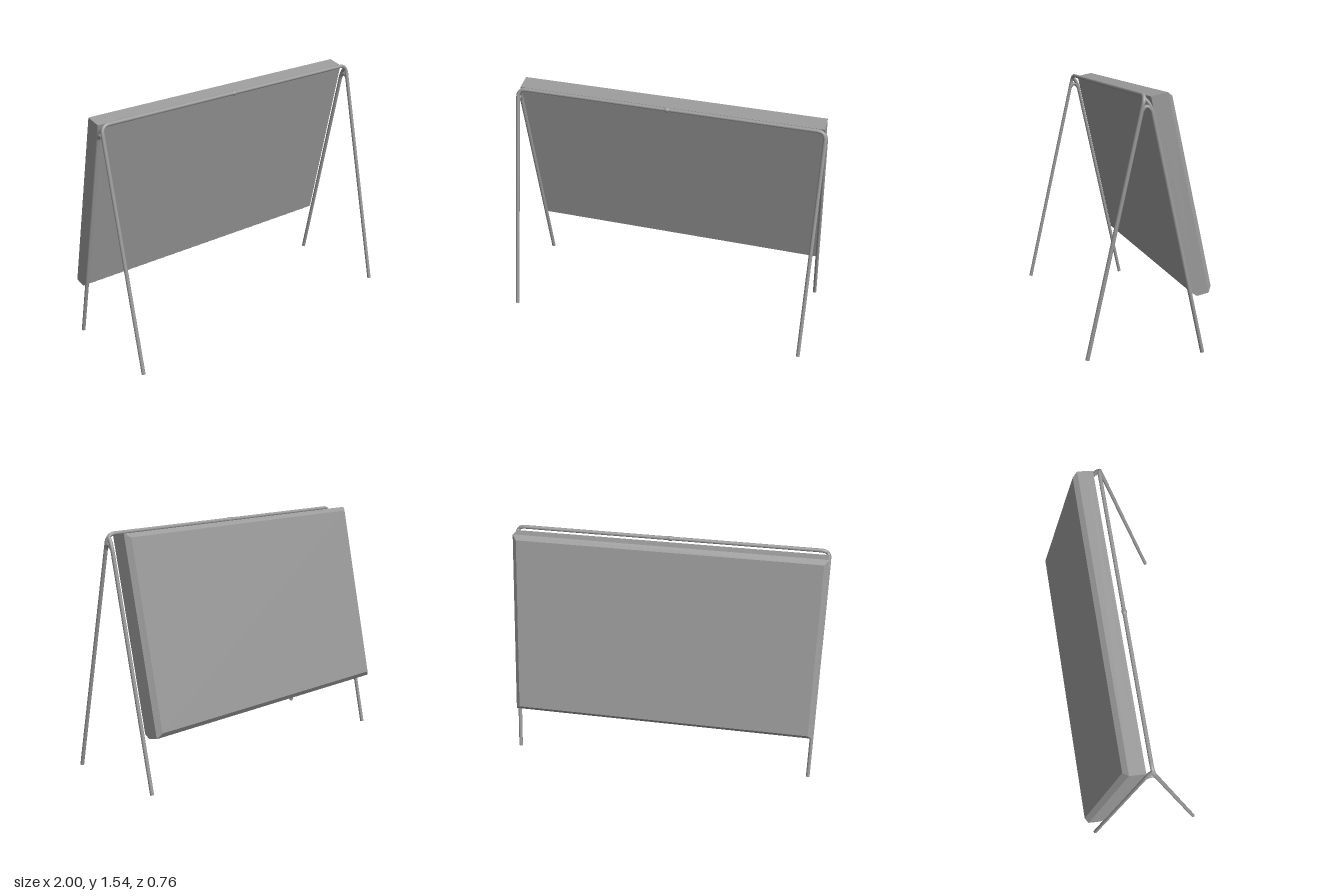
import * as THREE from 'three';

const R = 0.012; // tube radius of the frame
const V = (x, y, z) => new THREE.Vector3(x, y, z);

export function createModel() {
  const model = new THREE.Group();
  const metal = new THREE.MeshStandardMaterial({ color: 0x9a9a9a });
  const flat = new THREE.MeshStandardMaterial({ color: 0x9a9a9a, flatShading: true });

  const add = (name, geometry, material = metal) => {
    const mesh = new THREE.Mesh(geometry, material);
    mesh.name = name;
    model.add(mesh);
    return mesh;
  };

  // Straight capped rod between two points
  const rod = (name, a, b) => {
    const dir = b.clone().sub(a);
    const mesh = add(name, new THREE.CylinderGeometry(R, R, dir.length(), 16));
    mesh.position.copy(a).add(b).multiplyScalar(0.5);
    mesh.quaternion.setFromUnitVectors(V(0, 1, 0), dir.normalize());
  };

  // Rounded tube bend between two points, pulled towards a corner
  const bend = (name, a, corner, b) =>
    add(name, new THREE.TubeGeometry(new THREE.QuadraticBezierCurve3(a, corner, b), 14, R, 16));

  // Front hoop, with rear legs merging into its corners
  const legX = 0.988, barX = 0.933, topY = 1.52, topZ = 0.037;
  for (const s of [-1, 1]) {
    const x = s * legX;
    const foot = V(x, 0.009, 0.372);
    const corner = V(x, topY, topZ);
    const shoulder = corner.clone().lerp(foot, 0.037);
    rod('frontLeg', foot, shoulder);
    bend('frameCorner', shoulder, corner, V(s * barX, topY, topZ));

    const knee = V(x, 1.42, -0.007);
    rod('rearLeg', V(x, 0.003, -0.322), knee);
    bend('rearLegBend', knee, V(x, 1.475, 0.006), V(s * (legX - 0.009), 1.5, 0.038));
    // Narrow arch closing the gap between the two legs
    bend('legArch', V(x, 1.43, 0.057), V(x, 1.485, 0.028), V(x, 1.43, -0.004));
  }
  rod('topBar', V(-barX, topY, topZ), V(barX, topY, topZ));

  // Small joint in the middle of the bar
  const joint = add('barJoint', new THREE.SphereGeometry(0.016, 16, 10));
  joint.position.set(0, topY, topZ);
  joint.scale.x = 1.5;

  // Slanted panel: rectangular sections from front to back, [depth, inset, top, bottom]
  const halfW = 0.982, H = 1.204, c = 0.028;
  const sections = [
    [0, 0, 0, H - c],
    [c, 0, 0, H],
    [0.102, 0, 0, H],
    [0.13, c, c, H - c],
  ].map(([d, inset, top, bottom]) => {
    const w = halfW - inset;
    return [V(-w, -bottom, -d), V(w, -bottom, -d), V(w, -top, -d), V(-w, -top, -d)];
  });
  const points = [];
  const quad = (p, q, r, t) => points.push(p, q, r, p, r, t);
  quad(...sections[0]);
  quad(...sections[3].slice().reverse());
  for (let i = 0; i < 3; i++) {
    for (let k = 0; k < 4; k++) {
      const n = (k + 1) % 4;
      quad(sections[i][k], sections[i + 1][k], sections[i + 1][n], sections[i][n]);
    }
  }
  const geometry = new THREE.BufferGeometry().setFromPoints(points);
  geometry.computeVertexNormals();
  const panel = add('panel', geometry, flat);
  panel.position.set(-0.006, 1.513, 0);
  panel.rotation.x = 0.218;

  return model;
}
